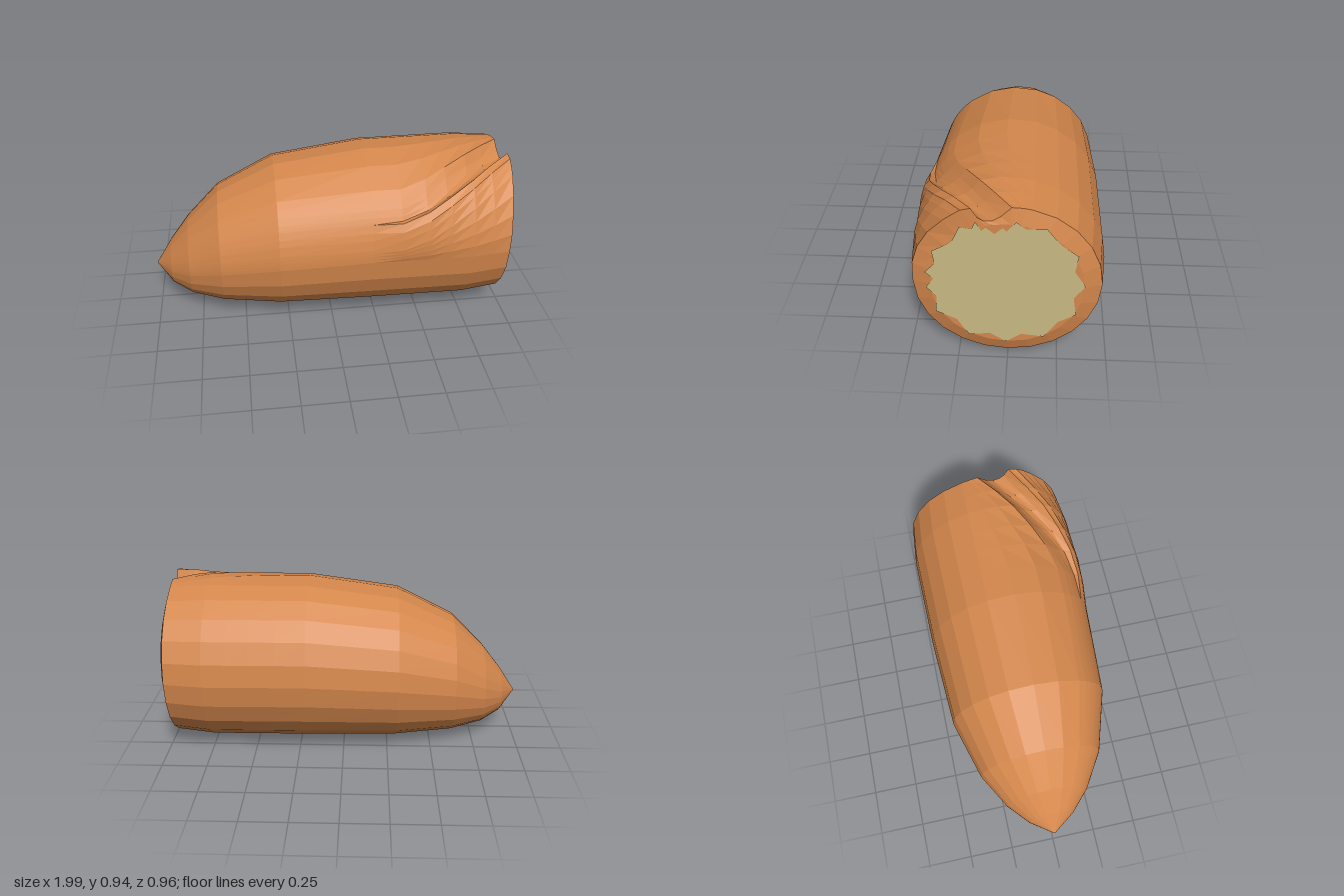
import * as THREE from 'three';

// Body cross-sections: x, top y, bottom y, half width in z
const STATIONS = [
  [-1, 0.262, 0.258, 0.002], [-0.91, 0.40, 0.14, 0.13], [-0.8, 0.54, 0.08, 0.235],
  [-0.62, 0.72, 0.04, 0.345], [-0.3, 0.878, 0.015, 0.44], [0.2, 0.948, 0.008, 0.468],
  [0.75, 0.95, 0.008, 0.476], [0.96, 0.935, 0.032, 0.456],
];
// Path of the fold: x, angle in degrees from the top towards the front
const FOLD = [[-1, 60], [0.2, 65], [0.36, 65], [0.5, 59], [0.7, 45], [0.9, 28], [0.96, 21]];
const RINGS = [-1, -0.91, -0.8, -0.62, -0.3, 0.2, 0.36, 0.5, 0.62, 0.75, 0.86, 0.96];

// Outline of the pale core: z, y pairs
const CORE = [
  -0.045, 0.87, 0, 0.815, 0.015, 0.835, 0.055, 0.8, 0.095, 0.835, 0.115, 0.815, 0.14, 0.868,
  0.16, 0.825, 0.215, 0.835, 0.255, 0.745, 0.35, 0.69, 0.34, 0.615, 0.39, 0.56, 0.35, 0.52,
  0.39, 0.465, 0.34, 0.41, 0.35, 0.31, 0.25, 0.26, 0.19, 0.155, 0.09, 0.17, 0.005, 0.115,
  -0.07, 0.17, -0.18, 0.155, -0.25, 0.26, -0.335, 0.31, -0.32, 0.42, -0.375, 0.495,
  -0.32, 0.585, -0.335, 0.68, -0.25, 0.745, -0.185, 0.835, -0.09, 0.83,
];

function sample(table, x) {
  let i = 0;
  while (i < table.length - 2 && x > table[i + 1][0]) i++;
  const [a, b] = [table[i], table[i + 1]];
  const t = THREE.MathUtils.clamp((x - a[0]) / (b[0] - a[0]), 0, 1);
  return a.map((v, k) => v + (b[k] - v) * t);
}

// Columns round a ring as [angle, radial offset]: fixed spacing, except where they follow the fold
function columns(x) {
  const f = sample(FOLD, x)[1];
  const groove = THREE.MathUtils.smoothstep(x, 0.33, 0.96) * 0.066;
  const ridge = THREE.MathUtils.smoothstep(x, 0.2, 0.45) * 0.036;
  const list = [];
  const start = f - 24, end = f + 16;
  for (let i = 0; i < 3; i++) list.push([-15 + (start + 15) * i / 3, 0]);
  list.push(
    [start, 0], [f - 17, -groove * 0.75], [f - 11, -groove], [f - 6, -groove * 0.85],
    [f - 3, -groove * 0.45], [f - 1.5, ridge * 0.8], [f + 4, ridge], [f + 9, ridge * 0.85],
  );
  for (let i = 0; i < 4; i++) list.push([end + (90 - end) * i / 4, ridge * (0.7 - i * 0.15)]);
  for (let a = 90; a < 345; a += 15) list.push([a, 0]);
  return list;
}

function huskGeometry() {
  const rings = RINGS.map((x) => {
    const [, top, bottom, half] = sample(STATIONS, x);
    return columns(x).map(([deg, offset]) => {
      const a = THREE.MathUtils.degToRad(deg);
      const swell = x > 0.9 ? 0.026 * Math.exp(-(((deg - 25) / 28) ** 2)) : 0;
      return [
        x + swell,
        (top + bottom) / 2 + ((top - bottom) / 2 + offset) * Math.cos(a),
        (half + offset) * Math.sin(a),
      ];
    });
  });
  // Domed rim of the cut end, closed at its middle
  const rim = columns(0.96);
  for (const r of [0.37, 0.001]) {
    rings.push(rim.map(([deg]) => {
      const a = THREE.MathUtils.degToRad(deg);
      return [0.988, 0.483 + r * Math.cos(a), r * Math.sin(a)];
    }));
  }
  const n = rim.length, index = [];
  for (let i = 0; i < rings.length - 1; i++) {
    for (let j = 0; j < n; j++) {
      const k = (j + 1) % n;
      const a = i * n + j, b = i * n + k, c = a + n, d = b + n;
      index.push(a, b, c, b, d, c);
    }
  }
  const geometry = new THREE.BufferGeometry();
  geometry.setAttribute('position', new THREE.Float32BufferAttribute(rings.flat(2), 3));
  geometry.setIndex(index);
  geometry.computeVertexNormals();
  return geometry;
}

export function createModel() {
  const model = new THREE.Group();
  model.name = 'cutPod';

  // Faceted husk with its folded flap
  const husk = new THREE.Mesh(
    huskGeometry(),
    new THREE.MeshStandardMaterial({ color: 0xd4874c, flatShading: true }),
  );
  husk.name = 'husk';

  // Jagged pale core on the cut end
  const points = [];
  for (let i = 0; i < CORE.length; i += 2) points.push(new THREE.Vector2(-CORE[i], CORE[i + 1]));
  const core = new THREE.Mesh(
    new THREE.ShapeGeometry(new THREE.Shape(points)).rotateY(Math.PI / 2),
    new THREE.MeshStandardMaterial({ color: 0xc9ba85 }),
  );
  core.position.x = 0.992;
  core.name = 'core';

  model.add(husk, core);
  return model;
}
